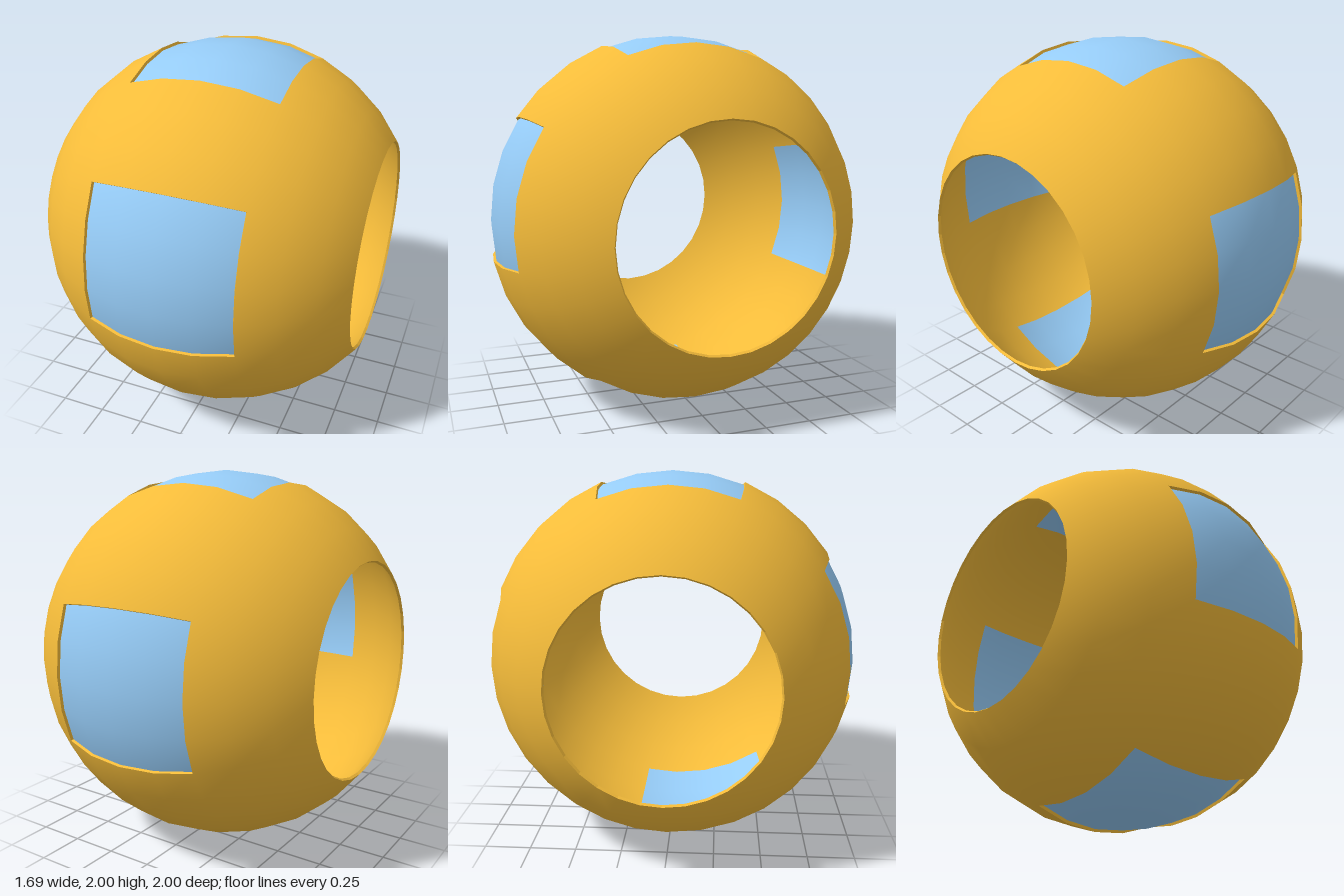
import * as THREE from 'three';

const SEG = 32;                      // segments around the x axis
const STEP = (Math.PI * 2) / SEG;
const ROWS = 5;                      // rows each side of the middle; the ends stay open
const HALF = 2;                      // half width of a window, in rows
const OUTER = 1.015, INNER = 1.0;
const WINDOWS = { frontWindow: -1, topWindow: 6, backWindow: 14, bottomWindow: 23 }; // first segment
const SPAN = 4;                      // segments per window

// Direction at row i (towards +x) and segment j (from the front upwards)
function direction(i, j) {
  const a = i * STEP, b = j * STEP;
  return new THREE.Vector3(Math.sin(a), Math.cos(a) * Math.sin(b), Math.cos(a) * Math.cos(b));
}

// Collects quads with one normal per corner
class QuadBuilder {
  positions = [];
  normals = [];
  quad(points, normals) {
    for (const k of [0, 1, 2, 0, 2, 3]) {
      this.positions.push(...points[k].toArray());
      this.normals.push(...normals[k].toArray());
    }
  }
  geometry() {
    const g = new THREE.BufferGeometry();
    g.setAttribute('position', new THREE.Float32BufferAttribute(this.positions, 3));
    g.setAttribute('normal', new THREE.Float32BufferAttribute(this.normals, 3));
    return g;
  }
}

const corners = (i, j) => [direction(i, j), direction(i + 1, j), direction(i + 1, j + 1), direction(i, j + 1)];
const scaled = (dirs, r) => dirs.map((d) => d.clone().multiplyScalar(r));

function inWindow(i, j) {
  if (i < -HALF || i >= HALF) return false;
  return Object.values(WINDOWS).some((start) => (j - start + SEG) % SEG < SPAN);
}
const isShell = (i, j) => i >= -ROWS && i < ROWS && !inWindow(i, j);

// Thin hollow ball with window cut-outs and two round openings
function shellGeometry() {
  const b = new QuadBuilder();
  for (let i = -ROWS; i < ROWS; i++) {
    for (let j = 0; j < SEG; j++) {
      if (!isShell(i, j)) continue;
      const dirs = corners(i, j);
      const out = scaled(dirs, OUTER), inn = scaled(dirs, INNER);
      b.quad(out, dirs);
      b.quad([...inn].reverse(), scaled(dirs, -1).reverse());
      // Rim walls wherever the neighbouring cell is open
      [[i, j - 1], [i + 1, j], [i, j + 1], [i - 1, j]].forEach(([ni, nj], k) => {
        if (isShell(ni, (nj + SEG) % SEG)) return;
        const m = (k + 1) % 4;
        const n = dirs[m].clone().sub(dirs[k]).cross(dirs[k]).normalize();
        b.quad([inn[k], inn[m], out[m], out[k]], [n, n, n, n]);
      });
    }
  }
  return b.geometry();
}

// Curved pane flush with the inside of the shell
function windowGeometry(start) {
  const b = new QuadBuilder();
  for (let i = -HALF; i < HALF; i++) {
    for (let j = start; j < start + SPAN; j++) {
      const dirs = corners(i, j);
      b.quad(scaled(dirs, INNER), dirs);
    }
  }
  return b.geometry();
}

export function createModel() {
  const model = new THREE.Group();
  model.name = 'windowedBall';
  const orange = new THREE.MeshStandardMaterial({ color: 0xf5bc3a });
  const blue = new THREE.MeshStandardMaterial({ color: 0x96ccf7, side: THREE.DoubleSide });

  const add = (name, geometry, material) => {
    const mesh = new THREE.Mesh(geometry, material);
    mesh.name = name;
    mesh.position.y = 1;
    model.add(mesh);
  };

  add('shell', shellGeometry(), orange);
  for (const [name, start] of Object.entries(WINDOWS)) add(name, windowGeometry(start), blue);
  return model;
}
